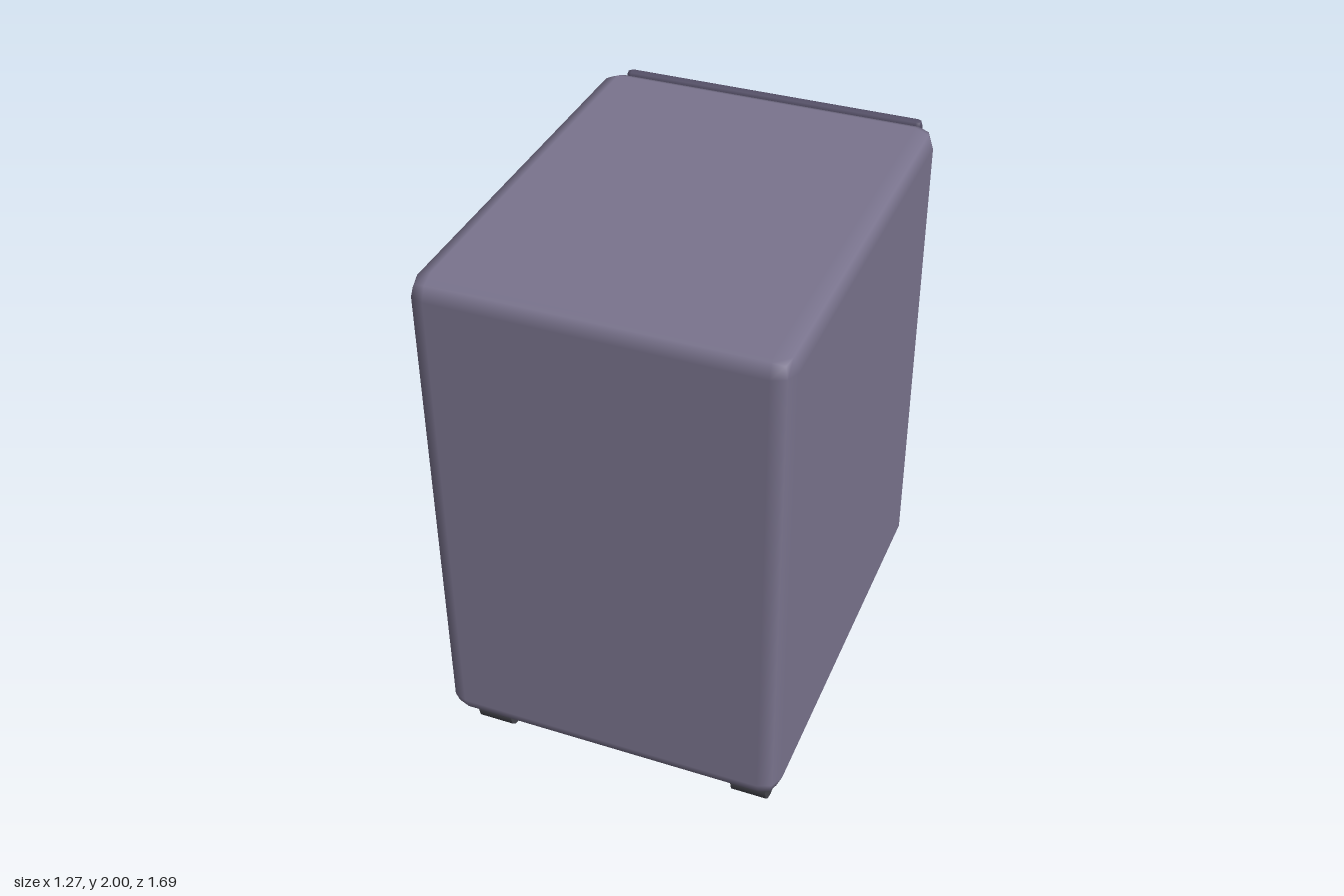
import * as THREE from 'three';
import { RoundedBoxGeometry } from 'three/addons/geometries/RoundedBoxGeometry.js';

const material = (color) => new THREE.MeshStandardMaterial({ color });

export function createModel() {
  const model = new THREE.Group();
  model.name = 'drawerPedestal';

  const bodyPaint = material(0x7a748e);
  const drawerPaint = material(0x555068);
  const brass = material(0xdccfab);
  const rubber = material(0x44444c);

  // Softly rounded box, placed by its centre
  const roundedBox = (name, size, radius, position, mat) => {
    const mesh = new THREE.Mesh(new RoundedBoxGeometry(...size, 1, radius), mat);
    mesh.name = name;
    mesh.position.set(...position);
    model.add(mesh);
  };

  // Cabinet body
  const bodyBack = -0.753;
  roundedBox('cabinet', [1.268, 1.865, 1.598], 0.07, [0, 1.0675, 0.046], bodyPaint);

  // Drawer fronts on the -z side, each with a bar handle near its top
  const drawers = [
    { name: 'top', low: 1.618, high: 1.985 },
    { name: 'middle', low: 1.068, high: 1.505 },
    { name: 'bottom', low: 0.35, high: 0.95 },
  ];
  for (const { name, low, high } of drawers) {
    roundedBox(`${name}DrawerFront`, [1.136, high - low, 0.042], 0.021,
      [0, (low + high) / 2, bodyBack - 0.021], drawerPaint);
    roundedBox(`${name}DrawerHandle`, [0.4, 0.052, 0.052], 0.026,
      [0, high - 0.066, -0.819], brass);
  }

  // Four caster wheels, turning about the x axis
  const wheel = new THREE.CylinderGeometry(0.066, 0.066, 0.132, 12).rotateZ(Math.PI / 2);
  for (const [side, x] of [['left', 0.5], ['right', -0.5]]) {
    for (const [end, z] of [['Front', 0.686], ['Back', -0.586]]) {
      const mesh = new THREE.Mesh(wheel, rubber);
      mesh.name = `${side}${end}Caster`;
      mesh.position.set(x, 0.066, z);
      model.add(mesh);
    }
  }

  return model;
}
